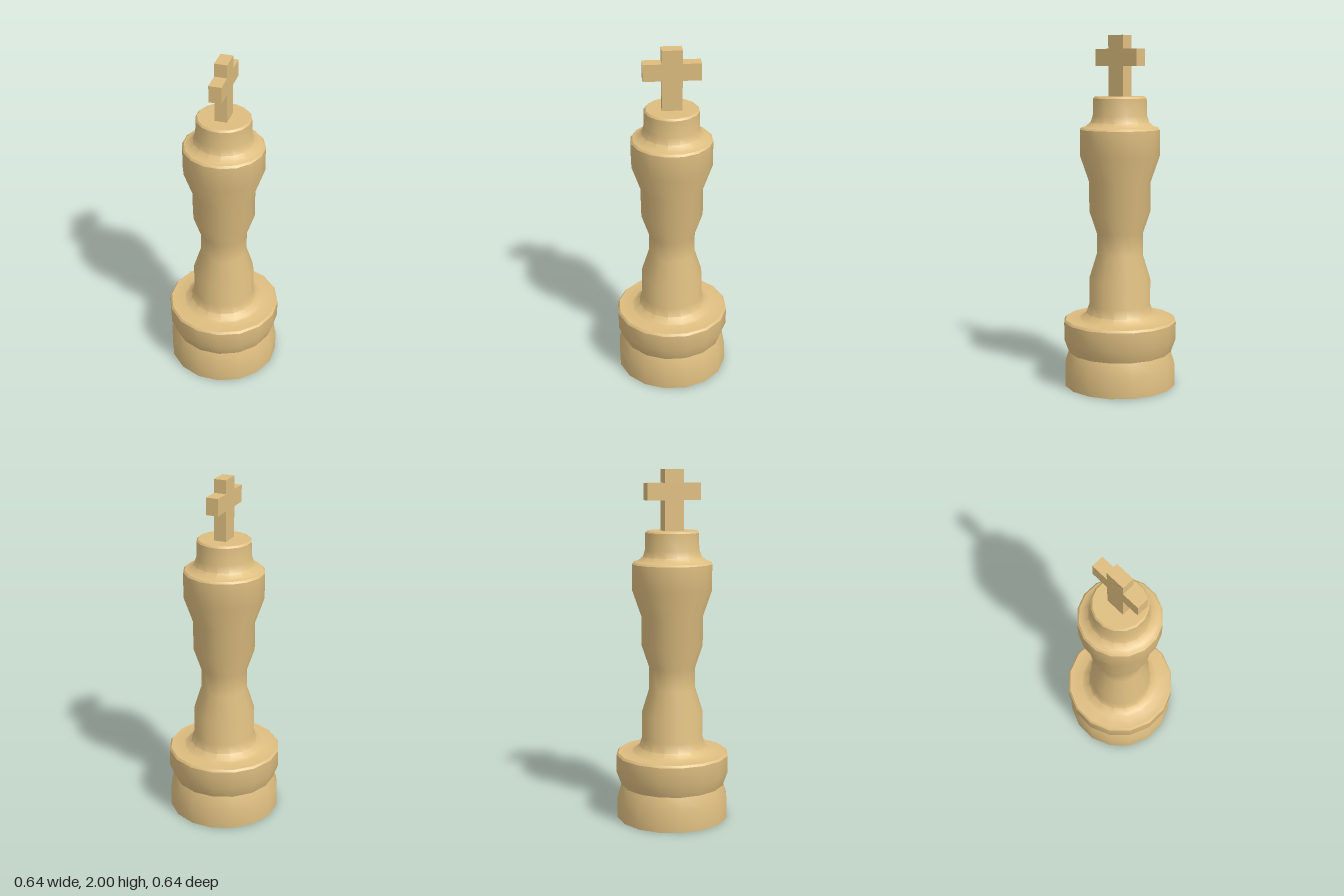
import * as THREE from 'three';
import { toCreasedNormals } from 'three/addons/utils/BufferGeometryUtils.js';

const SIDES = 16;
const material = new THREE.MeshStandardMaterial({ color: 0xdebe80 });

// Turned part from [radius to the flat side, height] pairs, flats facing the axes
function turned(name, profile) {
  const k = 1 / Math.cos(Math.PI / SIDES);
  const points = profile.map(([r, y]) => new THREE.Vector2(r * k, y));
  const lathe = new THREE.LatheGeometry(points, SIDES, Math.PI / SIDES);
  const mesh = new THREE.Mesh(toCreasedNormals(lathe, 0.6), material);
  mesh.name = name;
  return mesh;
}

// Upright cross with its arms along z
function cross() {
  const stem = 0.056, arm = 0.158, bottom = 1.65, low = 1.83, high = 1.925, top = 2;
  const half = [[stem, bottom], [stem, low], [arm, low], [arm, high], [stem, high], [stem, top]];
  const mirrored = half.map(([x, y]) => [-x, y]).reverse();
  const shape = new THREE.Shape([...half, ...mirrored].map(([x, y]) => new THREE.Vector2(x, y)));
  const depth = 0.07;
  const geometry = new THREE.ExtrudeGeometry(shape, { depth, bevelEnabled: false });
  geometry.translate(0, 0, -depth / 2);
  geometry.rotateY(Math.PI / 2);
  const mesh = new THREE.Mesh(geometry, material);
  mesh.name = 'cross';
  return mesh;
}

export function createModel() {
  const group = new THREE.Group();
  group.name = 'chessKing';
  group.add(
    turned('body', [
      // grooved base with a bevelled rim
      [0, 0], [0.316, 0], [0.316, 0.12], [0.292, 0.197], [0.32, 0.275],
      [0.32, 0.375], [0.31, 0.387],
      // foot flare
      [0.235, 0.387], [0.22, 0.394], [0.19, 0.42], [0.174, 0.47],
      // waisted stem
      [0.174, 0.62], [0.131, 0.76], [0.131, 0.885], [0.174, 1.015], [0.174, 1.18],
      // head with a bevelled rim
      [0.225, 1.33], [0.225, 1.475], [0.215, 1.486],
      // neck sweeping up to the cap
      [0.195, 1.49], [0.165, 1.515], [0.152, 1.555], [0.15, 1.65], [0.141, 1.66], [0, 1.66],
    ]),
    cross(),
  );
  return group;
}
